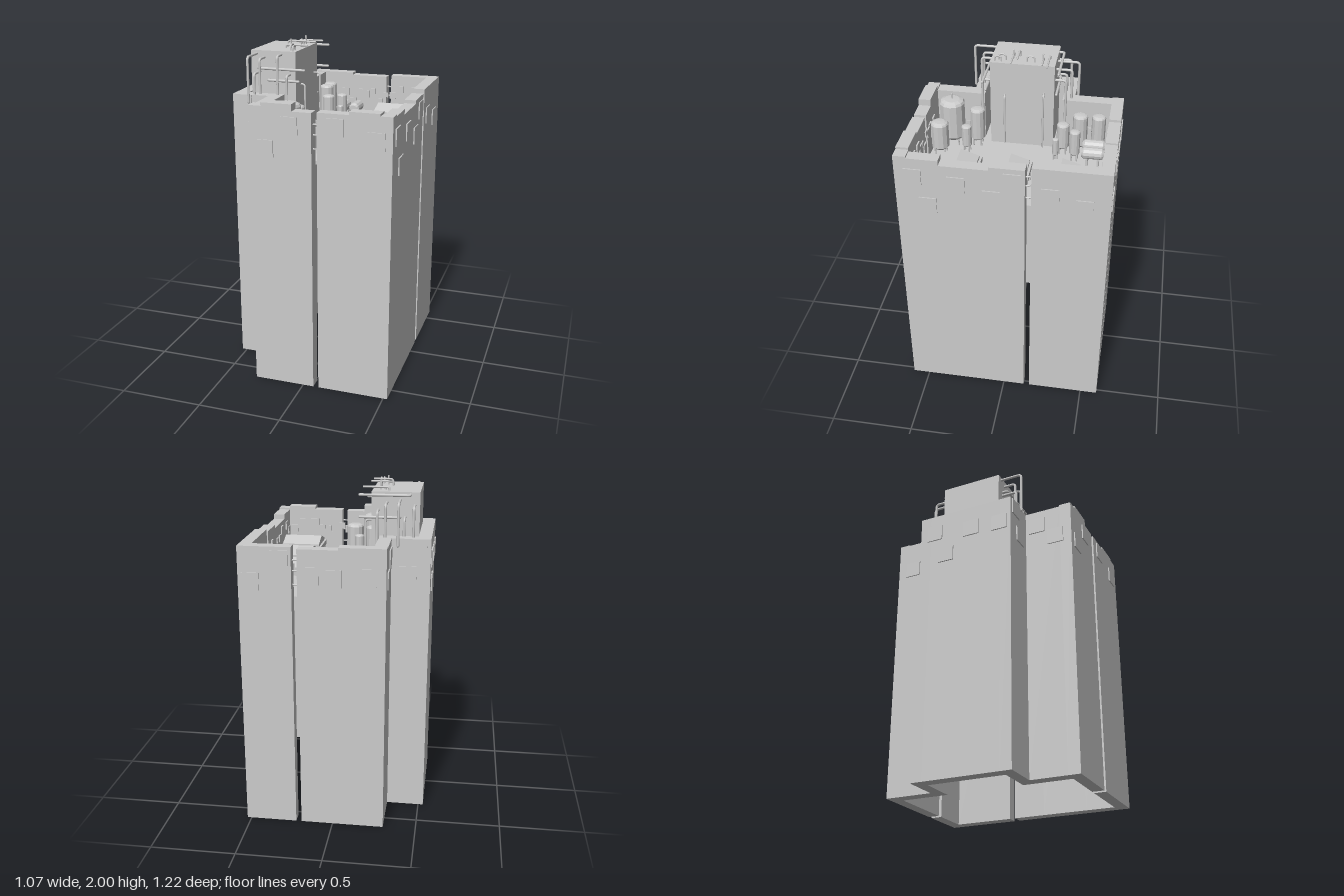
import * as THREE from 'three';

const FLOOR = 1.4;

export function createModel() {
  const root = new THREE.Group();
  const mat = new THREE.MeshStandardMaterial({ color: 0xcccccc, flatShading: true });
  const smooth = new THREE.MeshStandardMaterial({ color: 0xcccccc });

  const group = (name) => {
    const g = new THREE.Group();
    g.name = name;
    root.add(g);
    return g;
  };
  const add = (parent, name, geo, x = 0, y = 0, z = 0, m = mat) => {
    const mesh = new THREE.Mesh(geo, m);
    mesh.name = name;
    mesh.position.set(x, y, z);
    parent.add(mesh);
    return mesh;
  };
  // Box given by its limits
  const box = (parent, name, x0, x1, y0, y1, z0, z1) =>
    add(parent, name, new THREE.BoxGeometry(x1 - x0, y1 - y0, z1 - z0),
      (x0 + x1) / 2, (y0 + y1) / 2, (z0 + z1) / 2);

  // Outer walls with parapets of varied height: x0, x1, z0, z1, top
  const walls = group('walls');
  [
    // front, split by a slot
    [-0.305, -0.23, 0.53, 0.603, 1.71], [-0.23, -0.05, 0.53, 0.603, 1.73],
    [-0.05, 0.065, 0.53, 0.603, 1.69], [0.097, 0.28, 0.53, 0.603, 1.695],
    [0.28, 0.455, 0.53, 0.603, 1.713], [0.455, 0.525, 0.53, 0.603, 1.70],
    // right side, split by a slot
    [0.455, 0.525, 0.35, 0.53, 1.69], [0.455, 0.525, 0.07, 0.35, 1.66],
    [0.455, 0.525, -0.13, 0.07, 1.68], [0.455, 0.525, -0.535, -0.165, 1.70],
    // back, split by a slot
    [0.222, 0.525, -0.605, -0.535, 1.70], [-0.04, 0.19, -0.605, -0.535, 1.69],
    [-0.305, -0.04, -0.605, -0.535, 1.705],
    // left side and its projecting bay
    [-0.305, -0.23, 0.305, 0.53, 1.70], [-0.305, -0.23, -0.535, -0.31, 1.70],
    [-0.53, -0.23, 0.235, 0.305, 1.70], [-0.53, -0.23, -0.31, -0.24, 1.70],
    [-0.53, -0.455, -0.24, 0.235, 1.70],
  ].forEach(([x0, x1, z0, z1, top]) => box(walls, 'wall', x0, x1, 0, top, z0, z1));

  // Roof deck inside the parapets
  const deck = group('roofDeck');
  box(deck, 'mainDeck', -0.23, 0.455, FLOOR - 0.02, FLOOR, -0.535, 0.53);
  box(deck, 'bayDeck', -0.455, -0.23, FLOOR - 0.02, FLOOR, -0.24, 0.235);

  // Square cladding panels; each face has an axis, an offset and (along, height) pairs
  const panels = group('claddingPanels');
  const S = 0.05, T = 0.007;
  const panelRow = (axis, offset, spots) => spots.forEach(([a, y]) => {
    if (axis === 'x') box(panels, 'panel', offset - T, offset + T, y - S, y + S, a - S, a + S);
    else box(panels, 'panel', a - S, a + S, y - S, y + S, offset - T, offset + T);
  });
  panelRow('z', 0.603, [[-0.065, 1.61], [-0.21, 1.47], [0.2, 1.62], [0.435, 1.56]]);
  panelRow('z', -0.605, [[0.455, 1.5], [0.29, 1.63], [0.12, 1.54], [-0.01, 1.53], [-0.2, 1.54]]);
  panelRow('x', 0.525, [[0.5, 1.575], [0.255, 1.545], [0.06, 1.475], [0.42, 1.39],
    [-0.06, 1.6], [-0.27, 1.525], [-0.46, 1.47]]);
  panelRow('x', -0.305, [[-0.5, 1.51], [-0.39, 1.61], [0.38, 1.6], [0.5, 1.5]]);
  panelRow('x', -0.53, [[-0.21, 1.575], [-0.13, 1.41], [0.04, 1.55], [0.23, 1.54]]);
  for (const z of [0.305, -0.31]) panelRow('z', z, [[-0.46, 1.65], [-0.4, 1.49]]);

  // Small boxes fixed to the inside of the parapets
  const fittings = group('parapetFittings');
  let seed = 7;
  const rnd = () => (seed = (seed * 16807) % 2147483647) / 2147483647;
  for (let i = 0; i < 14; i++) {
    const y = 1.46 + rnd() * 0.16, s = 0.015 + rnd() * 0.015, d = 0.008;
    const x = -0.18 + 0.6 * (i / 13), z = -0.48 + 0.96 * (i / 13);
    box(fittings, 'fitting', x - s, x + s, y - s, y + s, -0.535, -0.535 + d);
    box(fittings, 'fitting', x - s, x + s, y - s, y + s, 0.53 - d, 0.53);
    box(fittings, 'fitting', 0.455 - d, 0.455, y - s, y + s, z - s, z + s);
    if (Math.abs(z) > 0.33) box(fittings, 'fitting', -0.23, -0.23 + d, y - s, y + s, z - s, z + s);
  }

  // Three raised skylights with shallow gabled tops
  for (const z of [-0.297, 0, 0.295]) {
    const g = group('skylight');
    g.position.set(0.317, 0, z);
    for (const sx of [-1, 1]) {
      for (const sz of [-1, 1]) {
        box(g, 'leg', sx * 0.115 - 0.008, sx * 0.115 + 0.008, FLOOR, 1.5,
          sz * 0.105 - 0.008, sz * 0.105 + 0.008);
      }
    }
    box(g, 'frame', -0.13, 0.13, 1.49, 1.52, -0.122, 0.122);
    const gable = new THREE.Shape([[-0.108, 0], [0.108, 0], [0.108, 0.015], [0, 0.05], [-0.108, 0.015]]
      .map(([a, b]) => new THREE.Vector2(a, b)));
    const geo = new THREE.ExtrudeGeometry(gable, { depth: 0.234, bevelEnabled: false });
    geo.rotateY(Math.PI / 2);
    add(g, 'glazing', geo, -0.117, 1.52, 0);
  }

  // Upright tanks on short legs: x, z, radius, top
  [
    [-0.14, 0.42, 0.077, 1.70], [0, 0.468, 0.054, 1.62], [-0.14, 0.265, 0.045, 1.65],
    [-0.045, 0.315, 0.03, 1.58], [-0.175, -0.47, 0.042, 1.645], [-0.165, -0.36, 0.045, 1.65],
    [-0.055, -0.34, 0.032, 1.6], [-0.12, -0.262, 0.038, 1.605], [-0.03, -0.228, 0.019, 1.55],
  ].forEach(([x, z, r, top]) => {
    const g = group('uprightTank');
    g.position.set(x, 0, z);
    const base = FLOOR + 0.04, cap = r * 0.3;
    const profile = [[0, base], [r * 0.7, base], [r, base + cap], [r, top - cap],
      [r * 0.9, top - cap * 0.4], [r * 0.6, top], [0, top + 0.002]];
    add(g, 'tankBody', new THREE.LatheGeometry(profile.map(([a, b]) => new THREE.Vector2(a, b)), 12));
    for (let i = 0; i < 4; i++) {
      const a = Math.PI / 4 + i * Math.PI / 2;
      add(g, 'tankLeg', new THREE.CylinderGeometry(0.005, 0.005, 0.07, 6),
        Math.cos(a) * r * 0.75, FLOOR + 0.035, Math.sin(a) * r * 0.75);
    }
    if (r > 0.07) add(g, 'tankFinial', new THREE.CylinderGeometry(0.004, 0.004, 0.04, 6), 0, top + 0.015, 0);
  });

  // Lying tanks on saddles: x, z, radius, length, along x or z, height
  [
    [-0.078, -0.455, 0.035, 0.136, 'z', 1.495], [0.008, -0.455, 0.035, 0.136, 'z', 1.495],
    [0.405, -0.507, 0.023, 0.086, 'x', 1.47], [0.405, -0.45, 0.023, 0.086, 'x', 1.47],
    [0.385, 0.445, 0.023, 0.086, 'x', 1.47], [0.385, 0.5, 0.02, 0.086, 'x', 1.47],
  ].forEach(([x, z, r, len, axis, y]) => {
    const g = group('lyingTank');
    g.position.set(x, y, z);
    if (axis === 'z') g.rotation.y = -Math.PI / 2;
    const h = len / 2, c = r * 0.4;
    const profile = [[0, -h], [r * 0.65, -h], [r, -h + c], [r, h - c], [r * 0.65, h], [0, h]];
    const geo = new THREE.LatheGeometry(profile.map(([a, b]) => new THREE.Vector2(a, b)), 12);
    add(g, 'tankBody', geo.rotateZ(Math.PI / 2));
    for (const s of [-1, 1]) box(g, 'saddle', s * h * 0.5 - 0.006, s * h * 0.5 + 0.006, FLOOR - y, 0, -r * 0.7, r * 0.7);
  });

  // Plant room rising above the parapet
  const plant = group('plantRoom');
  box(plant, 'plantRoomBlock', -0.455, -0.175, FLOOR, 1.945, -0.195, 0.19);

  // Pipes with rounded bends
  const pipes = group('pipes');
  const pipe = (name, r, ...pts) => {
    const v = pts.map((p) => new THREE.Vector3(...p));
    const path = new THREE.CurvePath();
    let from = v[0];
    for (let i = 1; i < v.length - 1; i++) {
      const bend = Math.min(0.02, v[i].distanceTo(v[i - 1]) * 0.45, v[i].distanceTo(v[i + 1]) * 0.45);
      const a = v[i].clone().add(v[i - 1].clone().sub(v[i]).setLength(bend));
      const b = v[i].clone().add(v[i + 1].clone().sub(v[i]).setLength(bend));
      path.add(new THREE.LineCurve3(from, a));
      path.add(new THREE.QuadraticBezierCurve3(a, v[i], b));
      from = b;
    }
    path.add(new THREE.LineCurve3(from, v[v.length - 1]));
    add(pipes, name, new THREE.TubeGeometry(path, v.length > 2 ? 48 : 1, r, 8), 0, 0, 0, smooth);
    // closed ends
    for (const p of [v[0], v[v.length - 1]]) add(pipes, 'pipeEnd', new THREE.SphereGeometry(r, 8, 6), p.x, p.y, p.z, smooth);
  };
  // Drop pipes: x, wall z, reach z, top, bottom
  [
    [-0.42, 0.19, 0.328, 1.925, 1.66], [-0.4, 0.19, 0.285, 1.82, 1.69], [-0.372, 0.19, 0.265, 1.905, 1.66],
    [-0.265, 0.19, 0.255, 1.925, 1.66], [-0.212, 0.19, 0.245, 1.81, 1.45],
    [-0.425, -0.195, -0.27, 1.87, 1.66], [-0.342, -0.195, -0.325, 1.9, 1.66],
    [-0.265, -0.195, -0.29, 1.885, 1.66], [-0.37, -0.195, -0.25, 1.8, 1.66], [-0.215, -0.195, -0.26, 1.84, 1.45],
  ].forEach(([x, z0, z1, top, low]) => pipe('dropPipe', 0.008, [x, top, z0], [x, top, z1], [x, low, z1]));
  // Runs along the plant room: z wall, z, x start, x end, y
  [
    [0.19, 0.225, -0.4, -0.11, 1.845], [0.19, 0.215, -0.34, -0.15, 1.775],
    [-0.195, -0.225, -0.4, -0.11, 1.93], [-0.195, -0.215, -0.34, -0.11, 1.8],
  ].forEach(([w, z, x0, x1, y]) => pipe('sidePipe', 0.008, [x0, y, w], [x0, y, z], [x1, y, z]));
  // Outlets on the inner face
  pipe('outletPipe', 0.006, [-0.19, 1.77, -0.135], [-0.135, 1.77, -0.135], [-0.135, 1.42, -0.135]);
  pipe('outletPipe', 0.006, [-0.19, 1.74, 0.1], [-0.15, 1.74, 0.1], [-0.15, 1.42, 0.1]);
  // Loops on top: z, x start, x end, height
  [
    [0.025, -0.282, -0.17, 1.985], [0.06, -0.282, -0.15, 1.965],
    [-0.155, -0.275, -0.125, 1.965], [-0.12, -0.25, -0.16, 1.96],
  ].forEach(([z, x0, x1, y]) => pipe('roofPipe', 0.006, [x0, 1.93, z], [x0, y, z], [x1, y, z]));
  for (const [x, z0, z1, y] of [[-0.22, 0.1, 0.145, 1.98], [-0.2, 0.125, 0.165, 1.975], [-0.218, -0.07, -0.025, 1.98]]) {
    pipe('roofLoop', 0.005, [x, 1.93, z0], [x, y, z0], [x, y, z1], [x, 1.93, z1]);
  }
  for (const [x, z] of [[-0.25, 0.06], [-0.22, -0.12]]) pipe('ventPipe', 0.005, [x, 1.9, z], [x, 1.997, z]);
  // Short pipes inside the wall slots
  for (const y of [1.48, 1.56, 1.62]) {
    pipe('slotPipe', 0.005, [0.06, y, 0.57], [0.1, y, 0.57]);
    pipe('slotPipe', 0.005, [0.49, y, -0.17], [0.49, y, -0.125]);
    pipe('slotPipe', 0.005, [0.185, y, -0.57], [0.227, y, -0.57]);
  }
  return root;
}
